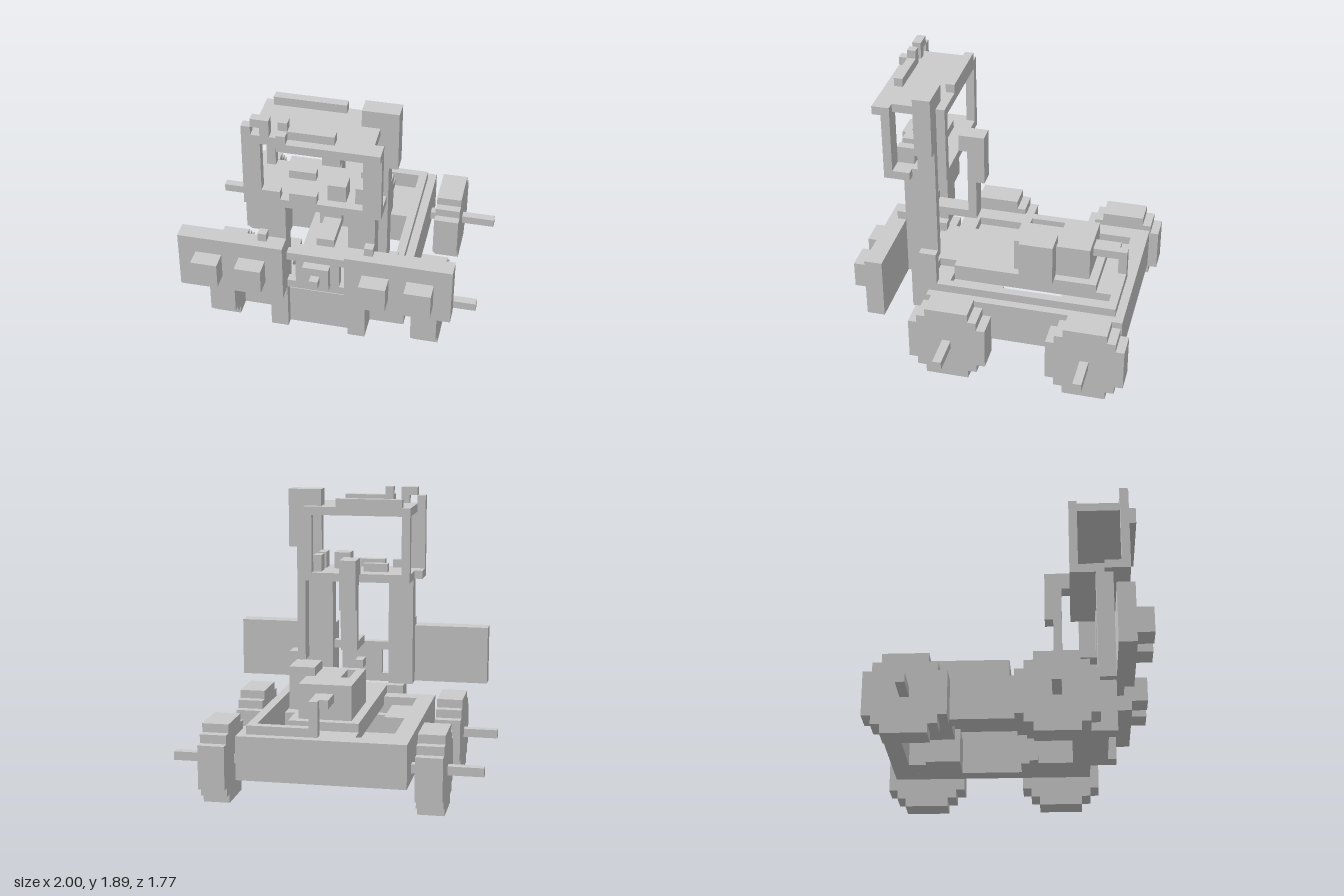
import * as THREE from 'three';

// Everything sits on a block grid of 35 x 33 x 31 units.
const U = 2 / 35;
const material = new THREE.MeshStandardMaterial({ color: 0xcccccc, flatShading: true });

export function createModel() {
  const root = new THREE.Group();

  // Adds a named part made of boxes [x0, x1, y0, y1, z0, z1] in grid units.
  function part(name, boxes, mirrored = false) {
    const group = new THREE.Group();
    group.name = name;
    const all = mirrored
      ? boxes.concat(boxes.map(([a, b, ...rest]) => [35 - b, 35 - a, ...rest]))
      : boxes;
    for (const [x0, x1, y0, y1, z0, z1] of all) {
      const mesh = new THREE.Mesh(
        new THREE.BoxGeometry((x1 - x0) * U, (y1 - y0) * U, (z1 - z0) * U), material);
      mesh.position.set(((x0 + x1) / 2 - 17.5) * U, (y0 + y1) / 2 * U, ((z0 + z1) / 2 - 15.5) * U);
      mesh.name = name;
      group.add(mesh);
    }
    root.add(group);
  }

  // Stepped round wheels with square axles and inner hubs
  for (const [name, z] of [['rear', 0], ['front', 16]]) {
    part(name + 'Wheels', [
      [28, 31, 0, 1, z + 2, z + 7],
      [28, 31, 1, 2, z + 1, z + 8],
      [28, 31, 2, 7, z, z + 9],
      [28, 31, 7, 8, z + 1, z + 8],
      [28, 31, 8, 9, z + 2, z + 7],
    ], true);
    part(name + 'Axles', [[31, 35, 4, 5, z + 4, z + 5], [27, 28, 4, 5, z + 4, z + 5]], true);
  }
  part('innerHubs', [
    [22, 25, 3, 7, 3, 9], [22, 25, 3, 7, 16, 22],
    [21, 22, 3, 7, 5, 9], [21, 22, 3, 7, 17, 18],
  ], true);

  // Rectangular chassis with open side bays
  part('sideRails', [[25, 27, 3, 8, 1, 24]], true);
  part('rearBeam', [[10, 25, 3, 8, 1, 3]]);
  part('frontBeam', [[10, 25, 3, 8, 22, 24], [14, 21, 3, 8, 24, 26], [14, 21, 8, 9, 22, 25]]);
  part('deck', [[14, 22, 7, 8, 3, 22], [14, 22, 8, 9, 5, 22]]);

  // Engine block with a slot in the top and a raised side cover
  part('engine', [
    [15, 21, 9, 11, 6, 15], [15, 16, 11, 13, 6, 15], [17, 21, 11, 13, 6, 15],
    [16, 17, 11, 13, 6, 10], [16, 17, 11, 13, 14, 15],
  ]);
  part('engineCover', [[20, 23, 9, 14, 10, 14]]);
  part('enginePipe', [[17, 19, 11, 12, 3, 6], [18, 19, 8, 12, 2, 3]]);

  // Exhaust pipe runs along the rail and climbs into the mast
  part('exhaustPipe', [
    [19, 26, 8, 9, 2, 3], [25, 26, 8, 9, 3, 23],
    [25, 26, 8, 10, 23, 24], [25, 26, 10, 13, 23, 25],
  ]);
  part('rearMast', [[24, 25, 12, 33, 23, 25]]);
  part('mastBox', [[22, 24, 31, 33, 23, 25], [25, 26, 26, 33, 23, 25]]);

  // Uprights carrying the cab
  part('towerPosts', [[21, 23, 3, 9, 24, 27], [21, 24, 9, 22, 25, 27]], true);
  part('postBrackets', [[23, 24, 16, 17, 27, 28]], true);

  // Front panels and square lamps
  part('frontPanels', [[21, 33, 9, 16, 27, 29]], true);
  part('headlamps', [[23, 26, 11, 14, 29, 31], [28, 31, 11, 14, 29, 31]], true);
  part('centrePlate', [[15, 20, 9, 14, 26, 27]]);
  part('plateTabs', [[20, 21, 9, 10, 26, 27], [20, 21, 13, 14, 26, 27]], true);
  part('centreLamp', [
    [16, 19, 10, 13, 27, 28], [17, 18, 11, 12, 28, 29], [17, 18, 11, 12, 24, 26],
  ]);

  // Bent column behind the cab
  part('bentColumn', [
    [17, 19, 14, 15, 20, 25], [17, 19, 15, 19, 20, 21],
    [17, 19, 19, 25, 19, 21], [17, 19, 23, 25, 21, 22],
  ]);

  // Open cab: floor with a broken front lip, corner posts, roof
  part('cabFloor', [
    [11, 24, 22, 23, 22, 26], [10, 25, 22, 23, 26, 29],
    [12, 14, 23, 24, 28, 29], [15, 18, 23, 24, 28, 29],
  ]);
  part('cabFrontPosts', [[23, 25, 23, 30, 28, 29]], true);
  part('cabRearPosts', [[23, 24, 23, 30, 22, 23]], true);
  part('cabRoof', [[11, 24, 30, 31, 22, 28], [10, 25, 30, 31, 28, 29], [14, 25, 30, 31, 29, 30]]);
  part('roofTrim', [
    [12, 20, 31, 32, 22, 23], [15, 20, 31, 32, 28, 29],
    [14, 15, 31, 33, 28, 29], [14, 15, 31, 32, 29, 30],
    [10, 11, 31, 32, 28, 29], [11, 13, 32, 33, 28, 29], [12, 13, 31, 32, 28, 29],
  ]);
  part('cabControls', [
    [22, 23, 23, 25, 26, 28], [22, 23, 23, 25, 23, 25],
    [19, 21, 23, 25, 26, 28], [14, 17, 23, 24, 24, 25],
  ]);

  return root;
}
